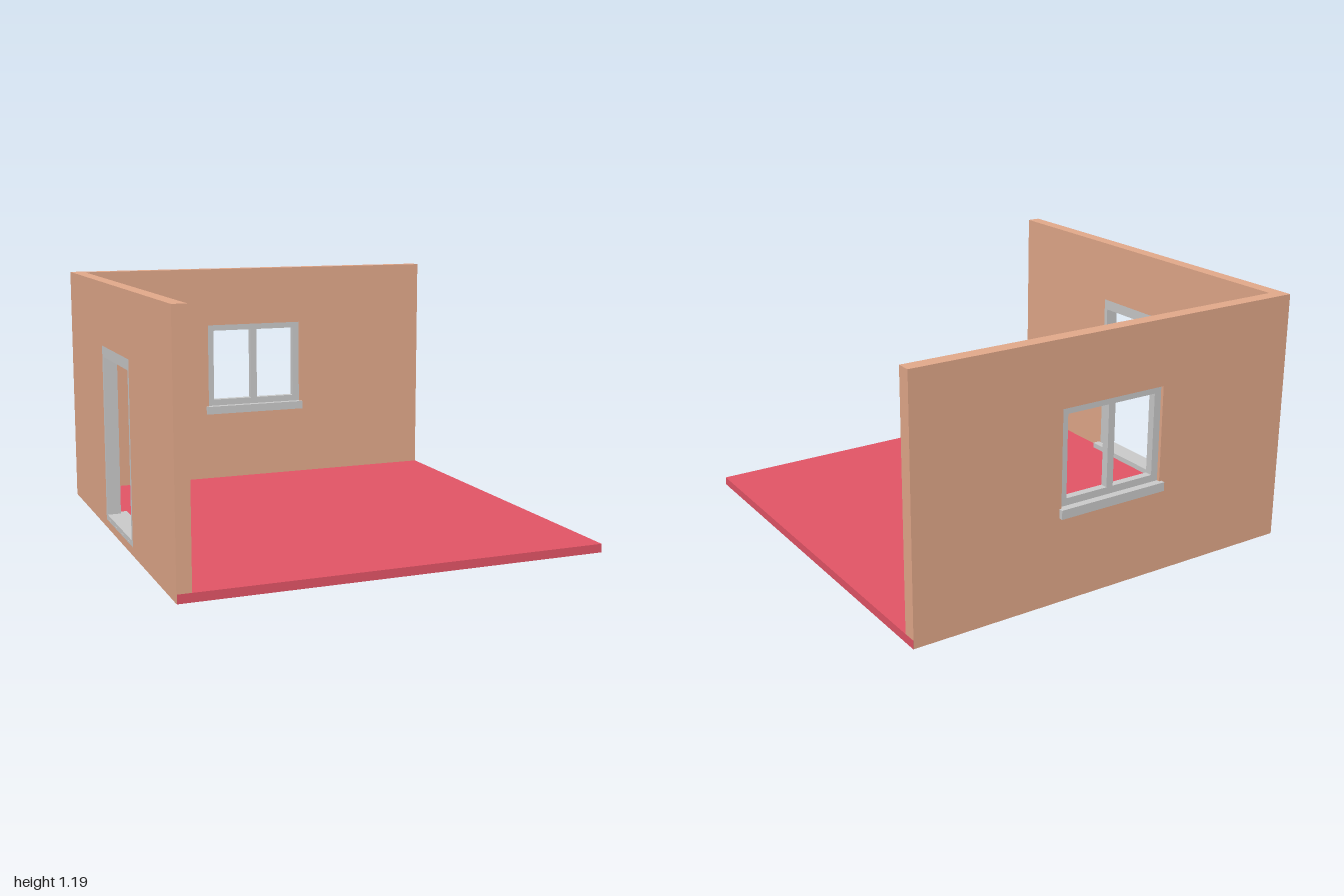
import * as THREE from 'three';

const wallMat = new THREE.MeshStandardMaterial({ color: 0xe4aa8b });
const floorMat = new THREE.MeshStandardMaterial({ color: 0xe45567 });
const trimMat = new THREE.MeshStandardMaterial({ color: 0xcccccc });

const TOP = 1.19, FLOOR = 0.04, THICK = 0.065;

// Rectangle given as [left, bottom, right, top]
function trace(path, [l, b, r, t]) {
  path.moveTo(l, b);
  path.lineTo(r, b);
  path.lineTo(r, t);
  path.lineTo(l, t);
  path.closePath();
  return path;
}

// Upright slab with rectangular openings
function panel(name, mat, outer, openings, depth, z = 0) {
  const shape = trace(new THREE.Shape(), outer);
  for (const o of openings) shape.holes.push(trace(new THREE.Path(), o));
  const geo = new THREE.ExtrudeGeometry(shape, { depth, bevelEnabled: false });
  geo.translate(0, 0, z);
  const mesh = new THREE.Mesh(geo, mat);
  mesh.name = name;
  return mesh;
}

// Box spanning two corners
function block(name, mat, min, max) {
  const s = max.map((v, i) => v - min[i]);
  const mesh = new THREE.Mesh(new THREE.BoxGeometry(...s), mat);
  mesh.position.set(...max.map((v, i) => (v + min[i]) / 2));
  mesh.name = name;
  return mesh;
}

export function createModel() {
  const model = new THREE.Group();
  model.name = 'roomCorner';

  // Floor slab, set a hair inside the outer wall faces
  model.add(block('floor', floorMat, [-0.988, 0, -0.978], [0.99, FLOOR, 1]));

  // Back wall with window
  const back = new THREE.Group();
  back.name = 'backWallGroup';
  const win = [-0.267, 0.44, 0.265, 0.887];
  back.add(panel('backWall', wallMat, [-0.925, 0.001, 0.989, TOP], [win], THICK));
  back.add(panel('windowFrame', trimMat, win,
    [[-0.232, 0.475, -0.018, 0.855], [0.016, 0.475, 0.229, 0.855]], 0.035, 0.015));
  back.add(block('windowSill', trimMat, [-0.28, 0.4, -0.02], [0.275, 0.442, THICK + 0.018]));
  back.position.z = -0.98;
  model.add(back);

  // Side wall with doorway; local x runs along world z
  const side = new THREE.Group();
  side.name = 'sideWallGroup';
  const door = [-0.253, FLOOR, 0.278, 0.887];
  side.add(panel('sideWall', wallMat, [-0.98, 0.001, 0.999, TOP], [door], THICK));
  side.add(panel('doorFrame', trimMat, door, [[-0.231, 0.05, 0.256, 0.836]], THICK));
  side.add(block('doorSill', trimMat, [-0.268, FLOOR, -0.038], [0.292, 0.067, THICK - 0.0005]));
  side.rotation.y = -Math.PI / 2;
  side.position.x = -0.925;
  model.add(side);

  return model;
}
